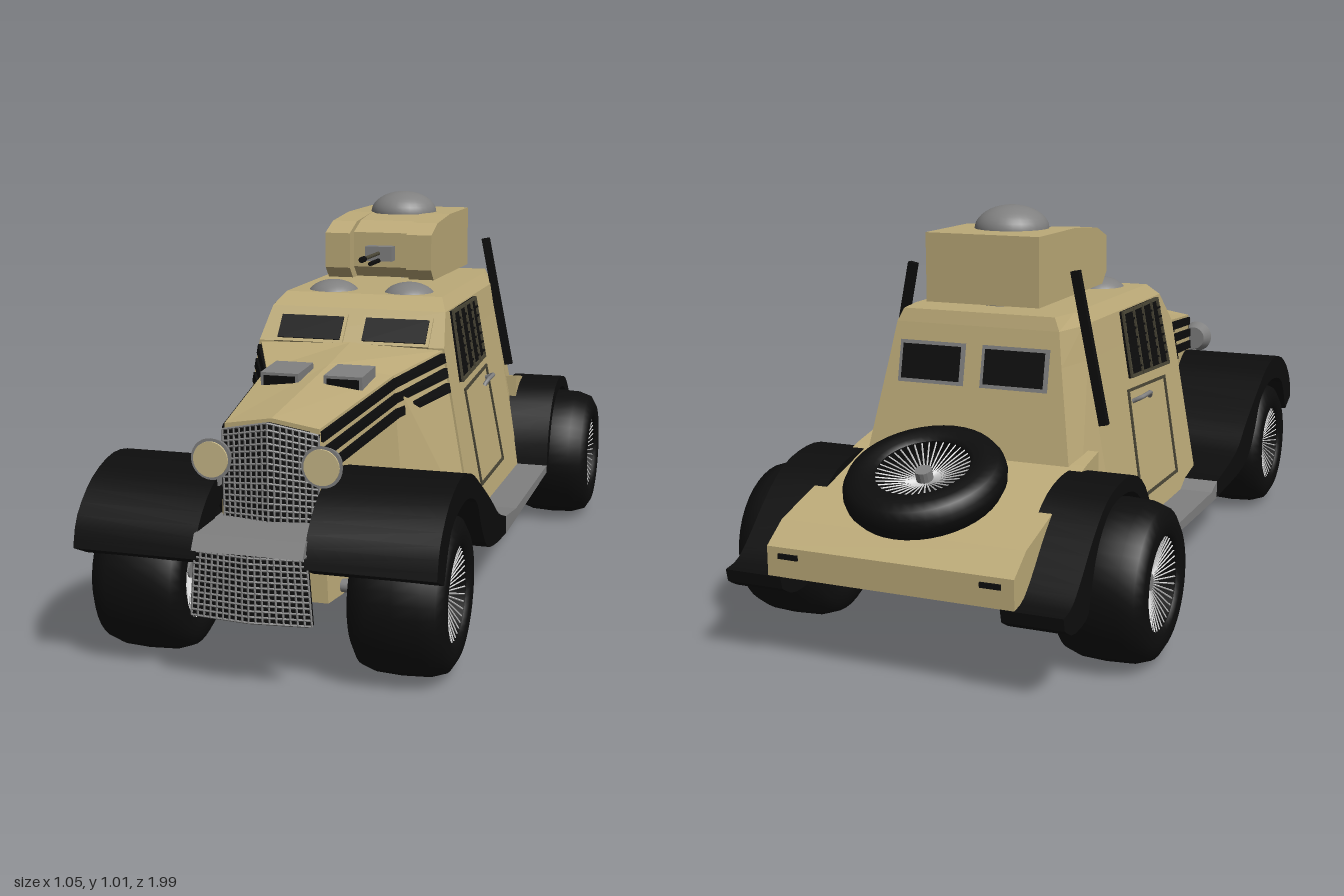
import * as THREE from 'three';
import { mergeGeometries, toCreasedNormals } from 'three/addons/utils/BufferGeometryUtils.js';

const TAN = 0xbcaa78, BLACK = 0x0d0d0d, GREY = 0x808080, LIGHT = 0xcccccc, DARK = 0x4a4636;
const cache = {};
function mat(color, flat) {
  return cache[color + '_' + flat] ??= new THREE.MeshStandardMaterial({ color, flatShading: flat, side: THREE.DoubleSide });
}
function add(parent, name, geo, color, pos = [0, 0, 0], flat = true) {
  const m = new THREE.Mesh(geo, mat(color, flat));
  m.name = name;
  m.position.set(...pos);
  parent.add(m);
  return m;
}
const box = (w, h, d) => new THREE.BoxGeometry(w, h, d);
function subGroup(parent, name) {
  const g = new THREE.Group();
  g.name = name;
  parent.add(g);
  return g;
}

// Side profile of [z, y] points extruded from x0 to x1, with optional holes
function extrudeX(pts, x0, x1, holes = []) {
  const v = (list) => list.map(([z, y]) => new THREE.Vector2(-z, y));
  const shape = new THREE.Shape(v(pts));
  holes.forEach((h) => shape.holes.push(new THREE.Path(v(h))));
  return new THREE.ExtrudeGeometry(shape, { depth: x1 - x0, bevelEnabled: false }).rotateY(Math.PI / 2).translate(x0, 0, 0);
}
const spline = (pts, n = 24) =>
  new THREE.SplineCurve(pts.map((p) => new THREE.Vector2(...p))).getPoints(n).map((p) => [p.x, p.y]);

// Skin over rings of [x, y, z] corners, closed at both ends
function loft(rings) {
  const n = rings[0].length, idx = [];
  for (let r = 0; r < rings.length - 1; r++)
    for (let i = 0; i < n; i++) {
      const a = r * n + i, b = r * n + (i + 1) % n;
      idx.push(a, b, b + n, a, b + n, a + n);
    }
  const e = (rings.length - 1) * n;
  for (let i = 1; i < n - 1; i++) idx.push(0, i + 1, i, e, e + i, e + i + 1);
  const g = new THREE.BufferGeometry();
  g.setAttribute('position', new THREE.Float32BufferAttribute(rings.flat(2), 3));
  g.setIndex(idx);
  g.computeVertexNormals();
  return g;
}

// Wire wheel with its axle along x
function wheel(parent, name, width, x, y, z) {
  const g = subGroup(parent, name), h = width / 2, c = Math.min(0.05, h * 0.6);
  g.position.set(x, y, z);
  const prof = [[0.11, -h + 0.01], [0.118, -h], [0.15, -h], [0.175, -h + c * 0.3], [0.187, -h + c], [0.19, 0]];
  const all = [...prof, ...prof.slice(0, -1).reverse().map(([r, t]) => [r, -t]), prof[0]];
  const tyre = new THREE.LatheGeometry(all.map((p) => new THREE.Vector2(...p)), 40).rotateZ(Math.PI / 2);
  add(g, 'tyre', tyre, BLACK, [0, 0, 0], false);
  add(g, 'wheelDisc', new THREE.CylinderGeometry(0.112, 0.112, 0.008, 32).rotateZ(Math.PI / 2), BLACK);
  const spokes = [];
  for (const s of [-1, 1])
    for (let i = 0; i < 40; i++)
      spokes.push(new THREE.CylinderGeometry(0.002, 0.002, 0.1, 4).rotateZ(-s * 0.3)
        .translate(s * (h - 0.027), 0.066, 0).rotateX(i * Math.PI / 20));
  add(g, 'spokes', mergeGeometries(spokes), LIGHT);
  add(g, 'hub', new THREE.CylinderGeometry(0.02, 0.02, Math.max(width - 0.07, 0.06), 14).rotateZ(Math.PI / 2), GREY);
  return g;
}

// Dark panel with a lattice of bars, tapering from w0 below to w1 above; prow bows it forward
function lattice(parent, name, w0, w1, y0, y1, z, nx, ny, prow, peak) {
  const g = subGroup(parent, name), H = y1 - y0;
  g.position.set(0, y0, z);
  const at = (u, v, off) => new THREE.Vector3(u * (w0 + (w1 - w0) * v), v * (H + peak * (1 - Math.abs(u))), prow * (1 - Math.abs(u)) + off);
  const ring = (v, o) => [...[-1, 0, 1].map((u) => at(u, v, o).toArray()), ...[1, 0, -1].map((u) => at(u, v, -0.012).toArray())];
  add(g, 'backing', loft([ring(0, 0), ring(1, 0)]), BLACK);
  const bar = (a, b) => new THREE.TubeGeometry(new THREE.LineCurve3(a, b), 1, 0.0028, 4);
  const bars = [];
  for (let i = 0; i <= nx; i++) bars.push(bar(at(i / nx * 2 - 1, 0, 0.002), at(i / nx * 2 - 1, 1, 0.002)));
  for (let j = 0; j <= ny; j++)
    for (const s of [-1, 1]) bars.push(bar(at(s, j / ny, 0.002), at(0, j / ny, 0.002)));
  add(g, 'bars', mergeGeometries(bars), GREY);
}

// Framed dark pane facing +z
function pane(parent, name, x, y, w, h, frame) {
  add(parent, name + 'Frame', box(w + 0.018, h + 0.018, 0.012), frame, [x, y, 0]);
  add(parent, name, box(w, h, 0.018), BLACK, [x, y, 0]);
}
const dome = (r, h) => new THREE.SphereGeometry(r, 28, 10, 0, Math.PI * 2, 0, Math.PI / 2).scale(1, h / r, 1);

export function createModel() {
  const car = new THREE.Group();
  car.name = 'armouredCar';

  // Cabin: plan outlines stacked upward [y, half width, front z, rear half width, rear z]
  add(car, 'cabin', loft([[0.17, 0.335, 0.22, 0.31, -0.65], [0.655, 0.25, 0.22, 0.228, -0.545],
    [0.738, 0.236, 0.15, 0.215, -0.527], [0.77, 0.215, 0.1, 0.2, -0.518]].map(([y, w, f, r, b]) =>
    [[-w, y, f], [w, y, f], [w, y, -0.43], [r, y, b], [-r, y, b], [-w, y, -0.43]])), TAN);

  // Bonnet: [z, shoulder x, shoulder y, bottom x, crown y]
  const hood = [[0.22, 0.245, 0.65, 0.33, 0.66], [0.4, 0.165, 0.615, 0.2, 0.635], [0.82, 0.112, 0.572, 0.13, 0.59]];
  add(car, 'bonnet', loft(hood.map(([z, x, y, b, c]) =>
    [[b, 0.17, z], [x, y, z], [0, c, z], [-x, y, z], [-b, 0.17, z]])), TAN);
  for (const s of [-1, 1])
    for (let k = 0; k < 3; k++) {
      const rings = hood.map(([z, x, y, b]) => {
        const p = (d, o) => [s * (x + (b - x) * d / (y - 0.17) + o), y - d, Math.max(0.225, z - 0.005)];
        const d = 0.018 + k * 0.038;
        return [p(d + 0.012, -0.01), p(d + 0.012, 0.007), p(d - 0.012, 0.007), p(d - 0.012, -0.01)];
      });
      add(car, 'bonnetLouvre', loft(rings), BLACK);
    }

  // Rear deck and spare wheel
  add(car, 'rearDeck', extrudeX([[-0.5, 0.45], [-0.58, 0.435], [-0.93, 0.335], [-0.995, 0.29], [-0.995, 0.22], [-0.86, 0.17], [-0.5, 0.17]], -0.305, 0.305), TAN);
  const spare = wheel(car, 'spareWheel', 0.09, 0, 0.425, -0.805);
  spare.rotation.set(-0.35, 0, Math.PI / 2);

  // Windscreen and rear windows on their sloping faces
  const screen = subGroup(car, 'windscreen');
  screen.position.set(0, 0.693, 0.187);
  screen.rotation.x = -0.7;
  const rear = subGroup(car, 'rearWindows');
  rear.position.set(0, 0.645, -0.549);
  rear.rotation.x = 0.213;
  for (const s of [-1, 1]) {
    pane(screen, 'windscreenPane', s * 0.115, -0.008, 0.17, 0.07, TAN);
    pane(rear, 'rearPane', s * 0.11, 0, 0.155, 0.085, GREY);
  }

  // Turret with a recessed gun mount
  const turret = subGroup(car, 'turret');
  const side = (f) => [[f, 0.915], [f - 0.07, 0.942], [-0.26, 0.955], [-0.495, 0.955], [-0.495, 0.785], [f - 0.03, 0.79], [f, 0.82]];
  add(turret, 'turretBody', extrudeX(side(-0.08), -0.08, 0.08), TAN);
  for (const x of [-0.15, 0.08]) add(turret, 'turretCheek', extrudeX(side(-0.04), x, x + 0.07), TAN);
  add(turret, 'turretRing', new THREE.CylinderGeometry(0.08, 0.08, 0.04, 28), GREY, [0, 0.775, -0.335], false);
  add(turret, 'turretDome', dome(0.094, 0.06), GREY, [0, 0.953, -0.315], false);
  add(turret, 'gunShield', box(0.075, 0.04, 0.05), GREY, [0, 0.86, -0.07]);
  const rod = (r, l) => new THREE.CylinderGeometry(r, r, l, 12).rotateX(Math.PI / 2);
  add(turret, 'gunBarrel', rod(0.005, 0.18), DARK, [0, 0.862, 0.025]);
  add(turret, 'gunMuzzle', rod(0.008, 0.025), BLACK, [0, 0.862, 0.105]);
  add(turret, 'gunLowerTube', rod(0.006, 0.09), BLACK, [0, 0.842, -0.01]);

  // Radiator grille, sloping cover and lower mesh apron
  lattice(car, 'radiatorGrille', 0.112, 0.113, 0.34, 0.56, 0.828, 16, 16, 0.02, 0.025);
  lattice(car, 'apronMesh', 0.14, 0.128, 0.17, 0.33, 0.965, 18, 12, 0.015, 0);
  add(car, 'apronCover', extrudeX([[0.81, 0.36], [0.97, 0.358], [0.99, 0.325], [0.96, 0.325], [0.81, 0.34]], -0.128, 0.128), GREY);

  // Axles
  for (const [z, l] of [[0.746, 0.44], [-0.64, 0.64]])
    add(car, 'axle', new THREE.CylinderGeometry(0.016, 0.016, l, 12).rotateZ(Math.PI / 2), GREY, [0, 0.19, z], false);

  // Everything repeated on both sides; built for +x and mirrored
  for (const s of [1, -1]) {
    const half = subGroup(car, s > 0 ? 'leftSide' : 'rightSide');
    half.scale.x = s;
    wheel(half, 'frontWheel', 0.22, 0.306, 0.193, 0.746);
    wheel(half, 'rearWheel', 0.22, 0.413, 0.193, -0.64);

    // Wings and running board
    const end = s > 0 ? 0.22 : 0.13;
    const front = [
      ...spline([[0.975, 0.3], [0.95, 0.37], [0.87, 0.437], [0.76, 0.468], [0.65, 0.45], [0.55, 0.4], [0.42, 0.325], [0.32, 0.262], [end, 0.226]]),
      ...spline([[end, 0.18], [0.35, 0.192], [0.46, 0.22], [0.53, 0.29], [0.58, 0.36], [0.66, 0.395], [0.75, 0.4], [0.85, 0.37], [0.91, 0.27]])];
    add(half, 'frontWing', toCreasedNormals(extrudeX(front, 0.125, 0.418), 0.6), BLACK, [0, 0, 0], false);
    const back = [
      ...spline([[-0.41, 0.19], [-0.43, 0.29], [-0.49, 0.38], [-0.57, 0.422], [-0.66, 0.425], [-0.75, 0.4], [-0.83, 0.34], [-0.9, 0.27], [-0.95, 0.23], [-0.997, 0.22]]),
      ...spline([[-0.99, 0.19], [-0.94, 0.165], [-0.86, 0.175], [-0.84, 0.22], [-0.8, 0.31], [-0.73, 0.375], [-0.64, 0.392], [-0.55, 0.375], [-0.48, 0.31], [-0.44, 0.19]])];
    add(half, 'rearWing', toCreasedNormals(extrudeX(back, 0.272, 0.418), 0.6), BLACK, [0, 0, 0], false);
    add(half, 'runningBoard', extrudeX([[end, 0.226], [0.08, 0.207], [-0.415, 0.2], [-0.415, 0.178], [end, 0.178]], 0.27, 0.418), GREY);

    // Door, barred window and handle on the leaning wall
    const wall = subGroup(half, 'sideWall');
    wall.position.set(0.277, 0.5, 0);
    wall.rotation.z = Math.atan(0.175);
    const inset = (p, d) => p.map(([z, y]) => [z + (z > -0.05 ? -d : d), y + (y > (p[0][1] + p[2][1]) / 2 ? -d : d)]);
    const door = [[0.085, 0.025], [-0.205, 0.04], [-0.23, -0.245], [0.07, -0.245]];
    add(wall, 'doorOutline', extrudeX(door, -0.004, 0.005, [inset(door, 0.007)]), DARK);
    const win = [[0.105, 0.238], [-0.175, 0.238], [-0.18, 0.065], [0.12, 0.05]];
    add(wall, 'sideWindow', extrudeX(win, -0.004, 0.006), BLACK);
    add(wall, 'sideWindowFrame', extrudeX(win, -0.004, 0.012, [inset(win, 0.008)]), DARK);
    for (let i = 1; i < 7; i++) add(wall, 'windowSlat', box(0.014, 0.005, 0.28), BLACK, [0.006, 0.06 + i * 0.025, -0.033]);
    for (let i = 1; i < 4; i++) add(wall, 'windowBar', box(0.006, 0.172, 0.004), DARK, [0.012, 0.15, 0.11 - i * 0.07]);
    const grip = new THREE.CatmullRomCurve3([[0, 0.005, -0.18], [0.024, 0.012, -0.172], [0.024, 0.01, -0.1], [0.016, 0, -0.09]].map((p) => new THREE.Vector3(...p)));
    add(wall, 'doorHandle', new THREE.TubeGeometry(grip, 12, 0.006, 8), GREY, [0, 0, 0], false);

    // Leaning black post
    const post = add(half, 'sidePost', box(0.022, 0.38, 0.017), BLACK, [0.256, 0.685, -0.432]);
    post.rotation.z = 0.2;

    // Headlamp
    add(half, 'headlampShell', new THREE.CylinderGeometry(0.048, 0.035, 0.04, 28).rotateX(Math.PI / 2), GREY, [0.13, 0.497, 0.84], false);
    add(half, 'headlampLens', new THREE.CylinderGeometry(0.041, 0.041, 0.008, 28).rotateX(Math.PI / 2), 0xc8b888, [0.13, 0.497, 0.861]);
    add(half, 'headlampBracket', box(0.016, 0.06, 0.016), GREY, [0.128, 0.46, 0.83]);

    // Bonnet scoop, roof dome and tail bar
    const scoop = subGroup(half, 'bonnetScoop');
    scoop.position.set(0.08, 0.62, 0.485);
    scoop.rotation.x = 0.06;
    add(scoop, 'scoopHousing', box(0.096, 0.038, 0.115), GREY);
    add(scoop, 'scoopOpening', box(0.08, 0.024, 0.004), BLACK, [0, 0, 0.058]);
    add(half, 'roofDome', dome(0.074, 0.048), GREY, [0.106, 0.748, 0.025], false);
    add(half, 'tailBar', box(0.05, 0.012, 0.01), BLACK, [0.25, 0.27, -0.995]);
  }
  return car;
}
